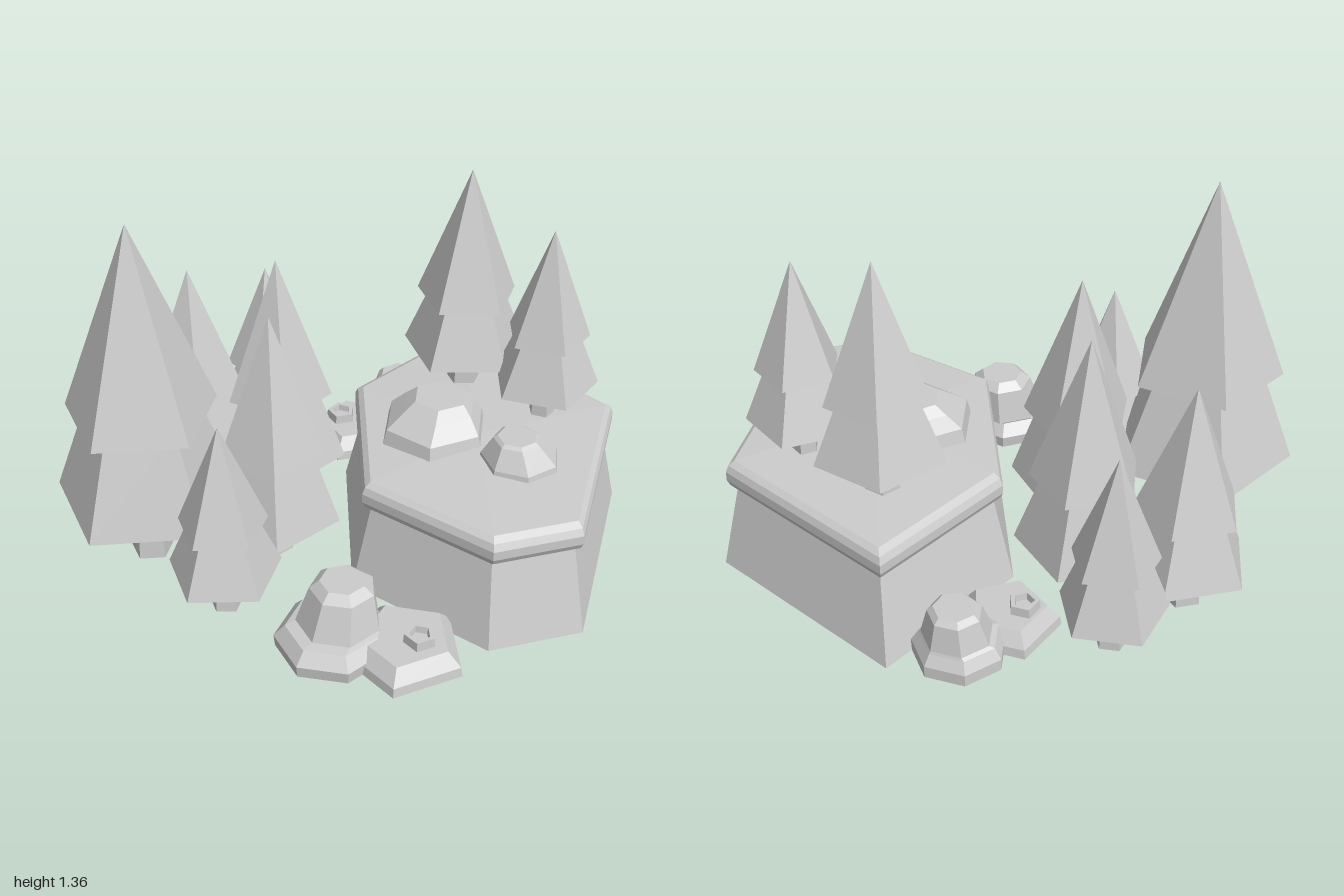
import * as THREE from 'three';

const grey = new THREE.MeshStandardMaterial({ color: 0xcccccc, flatShading: true });
const rad = THREE.MathUtils.degToRad;

function mesh(name, geometry, x = 0, y = 0, z = 0) {
  const m = new THREE.Mesh(geometry, grey);
  m.name = name;
  m.position.set(x, y, z);
  return m;
}

// Closed solid through rings of [x, y, z] points, listed from bottom to top
function loft(rings, topRise = 0) {
  const pos = [];
  const tri = (...pts) => pts.forEach((p) => pos.push(...p));
  const centre = (ring) => [0, 1, 2].map((k) => ring.reduce((s, p) => s + p[k], 0) / ring.length);
  const n = rings[0].length;
  const first = rings[0], last = rings[rings.length - 1];
  const bottom = centre(first), top = centre(last);
  top[1] += topRise;
  for (let i = 0; i < n; i++) {
    const j = (i + 1) % n;
    for (let r = 0; r < rings.length - 1; r++) {
      const lo = rings[r], hi = rings[r + 1];
      tri(lo[i], hi[i], lo[j]);
      tri(lo[j], hi[i], hi[j]);
    }
    tri(bottom, first[i], first[j]);
    tri(top, last[j], last[i]);
  }
  const g = new THREE.BufferGeometry();
  g.setAttribute('position', new THREE.Float32BufferAttribute(pos, 3));
  g.computeVertexNormals();
  return g;
}

// Regular ring of points; angle is measured from +x towards +z
function ring(sides, angle, r, y, dx = 0, dz = 0) {
  return Array.from({ length: sides }, (_, i) => {
    const a = rad(angle) + (i / sides) * Math.PI * 2;
    return [dx + r * Math.cos(a), y, dz + r * Math.sin(a)];
  });
}

// Two-tier pine with five sides
function tree({ x, z, ground = 0, top, mid, low, r1, r2, trunk, angle }) {
  const g = new THREE.Group();
  g.name = 'pineTree';
  const taper = (rTop, rBottom, y0, y1) => {
    const c = new THREE.CylinderGeometry(rTop, rBottom, y1 - y0, 5, 1, false, Math.PI / 2 - rad(angle));
    return c.translate(0, (y0 + y1) / 2, 0);
  };
  g.add(
    mesh('trunk', taper(trunk * 0.8, trunk, ground, low + 0.03)),
    mesh('lowerFoliage', taper(r1 * 0.72, r2, low, mid + 0.02)),
    mesh('upperFoliage', taper(0, r1, mid, top)),
  );
  g.position.set(x, 0, z);
  return g;
}

// Boulder: rings are [radius, height, dx, dz]
function rock(name, x, z, sides, angle, rings) {
  return mesh(name, loft(rings.map((r) => ring(sides, angle, ...r))), x, 0, z);
}

// Flat stone with a small stud on top
function flatStone(x, z, r, angle, studX, studZ) {
  const g = new THREE.Group();
  g.name = 'flatStone';
  g.add(rock('slab', x, z, 5, angle, [[r, 0.025], [r * 0.97, 0.06], [r * 0.74, 0.11]]));
  g.add(rock('stud', studX, studZ, 5, angle, [[0.06, 0.08], [0.055, 0.145], [0.038, 0.145], [0.034, 0.12]]));
  return g;
}

export function createModel() {
  const model = new THREE.Group();
  model.name = 'forestRock';

  // Six-sided plateau with sloping walls, a rounded rim and a slightly domed top
  const outline = [[0.885, -0.21], [0.85, 0.615], [0.115, 0.99], [-0.18, 0.805], [-0.24, 0.23], [0.255, -0.25]];
  const cx = 0.33, cz = 0.37;
  const level = (s, y) => outline.map(([x, z]) => [cx + (x - cx) * s, y, cz + (z - cz) * s]);
  model.add(mesh('plateauWall', loft([level(1, 0.025), level(0.85, 0.38)])));
  model.add(mesh('plateauRim', loft([
    level(0.87, 0.35), level(0.91, 0.36), level(0.93, 0.385),
    level(0.93, 0.42), level(0.91, 0.445), level(0.87, 0.46),
  ], 0.025)));

  // Trees on the ground and on the plateau
  [
    { x: -0.56, z: -0.49, top: 1.36, mid: 0.61, low: 0.25, r1: 0.285, r2: 0.345, trunk: 0.08, angle: 24 },
    { x: -0.07, z: -0.76, top: 0.885, mid: 0.39, low: 0.16, r1: 0.195, r2: 0.24, trunk: 0.075, angle: 56 },
    { x: 0.28, z: -0.7, top: 0.77, mid: 0.35, low: 0.14, r1: 0.16, r2: 0.2, trunk: 0.06, angle: 7 },
    { x: 0.06, z: -0.42, top: 1.0, mid: 0.44, low: 0.16, r1: 0.205, r2: 0.255, trunk: 0.07, angle: 57 },
    { x: -0.24, z: -0.16, top: 1.0, mid: 0.44, low: 0.16, r1: 0.205, r2: 0.25, trunk: 0.07, angle: 61 },
    { x: -0.59, z: -0.06, top: 0.765, mid: 0.35, low: 0.15, r1: 0.165, r2: 0.21, trunk: 0.06, angle: 28 },
    { x: 0.565, z: 0.075, ground: 0.44, top: 1.34, mid: 0.835, low: 0.61, r1: 0.19, r2: 0.235, trunk: 0.065, angle: 30 },
    { x: 0.575, z: 0.435, ground: 0.44, top: 1.22, mid: 0.8, low: 0.6, r1: 0.155, r2: 0.2, trunk: 0.05, angle: 48 },
  ].forEach((t) => model.add(tree(t)));

  // Stones around the plateau foot
  model.add(flatStone(-0.38, 0.6, 0.22, 78, -0.37, 0.655));
  model.add(flatStone(0.46, -0.39, 0.185, 15, 0.435, -0.44));
  model.add(rock('leftBoulder', -0.51, 0.385, 7, 20, [
    [0.2, 0.025], [0.205, 0.07], [0.165, 0.115], [0.15, 0.12, 0.03], [0.115, 0.25, 0.05], [0.08, 0.28, 0.05],
  ]));
  model.add(rock('rightBoulder', 0.67, -0.35, 7, 5, [
    [0.165, 0.025], [0.165, 0.07], [0.14, 0.11], [0.125, 0.12, 0.01], [0.095, 0.22, 0.02], [0.075, 0.24, 0.02],
  ]));

  // Stones on the plateau
  model.add(rock('largeTopRock', 0.215, 0.22, 6, 25, [[0.21, 0.44], [0.19, 0.52], [0.14, 0.57, 0.02], [0.1, 0.605, 0.03]]));
  model.add(rock('smallTopRock', 0.28, 0.56, 7, 80, [[0.15, 0.44], [0.14, 0.49], [0.085, 0.56, -0.01, -0.01], [0.07, 0.57, -0.01, -0.01]]));

  return model;
}
